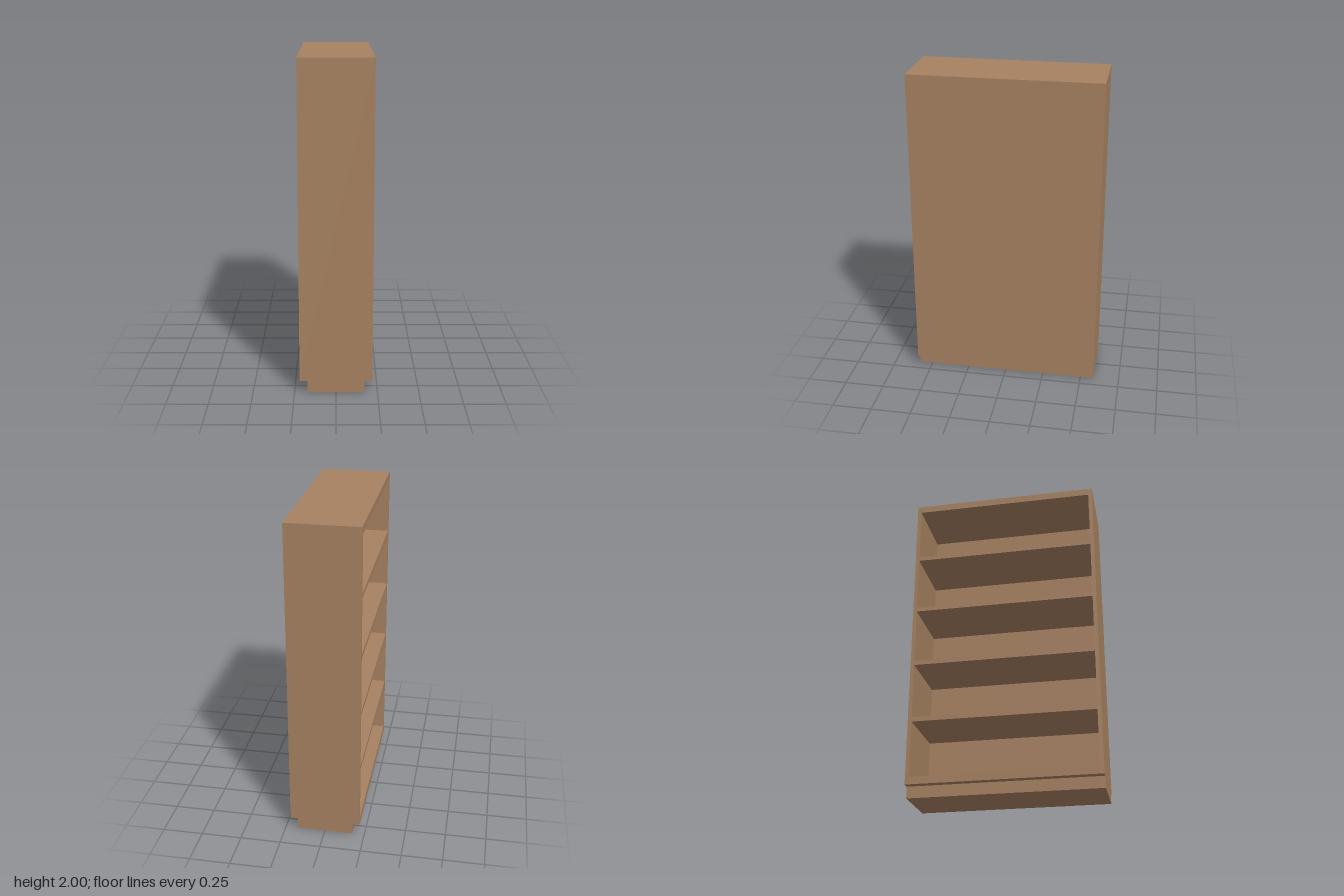
import * as THREE from 'three';

export function createModel() {
  const model = new THREE.Group();
  model.name = 'bookcase';
  const wood = new THREE.MeshStandardMaterial({ color: 0xa68160 });
  wood.name = 'wood';

  // Overall half sizes, plinth and panel thicknesses
  const hx = 0.219, hz = 0.586, plinthX = 0.173, plinthH = 0.071;
  const side = 0.024, back = 0.025, cap = 0.045, shelf = 0.028;
  const innerZ = 2 * (hz - side);

  function add(name, geometry, x, y, z) {
    const mesh = new THREE.Mesh(geometry, wood);
    mesh.name = name;
    mesh.position.set(x, y, z);
    model.add(mesh);
  }

  // Side panels with toe-kick notches at both lower corners
  const outline = new THREE.Shape([
    [-plinthX, 0], [plinthX, 0], [plinthX, plinthH], [hx, plinthH],
    [hx, 2], [-hx, 2], [-hx, plinthH], [-plinthX, plinthH],
  ].map(([x, y]) => new THREE.Vector2(x, y)));
  const sideGeometry = new THREE.ExtrudeGeometry(outline, { depth: side, bevelEnabled: false });
  add('sidePanelFront', sideGeometry, 0, 0, hz - side);
  add('sidePanelBack', sideGeometry, 0, 0, -hz);

  // Plinth between the sides
  add('plinth', new THREE.BoxGeometry(2 * plinthX, plinthH, innerZ), 0, plinthH / 2, 0);

  // Closed panel on +x; the shelves open towards -x
  add('backPanel', new THREE.BoxGeometry(back, 2 - plinthH, innerZ), hx - back / 2, (2 + plinthH) / 2, 0);

  // Horizontal boards, all flush with the open face
  const depth = 2 * hx - back;
  function board(name, bottom, thickness) {
    add(name, new THREE.BoxGeometry(depth, thickness, innerZ), -back / 2, bottom + thickness / 2, 0);
  }
  board('bottomBoard', plinthH, cap);
  board('topBoard', 2 - cap, cap);

  // Four shelves making five equal bays
  const bays = 5;
  const bayHeight = (2 - plinthH - 2 * cap - (bays - 1) * shelf) / bays;
  for (let i = 1; i < bays; i++) {
    board('shelf' + i, plinthH + cap + i * bayHeight + (i - 1) * shelf, shelf);
  }

  return model;
}
